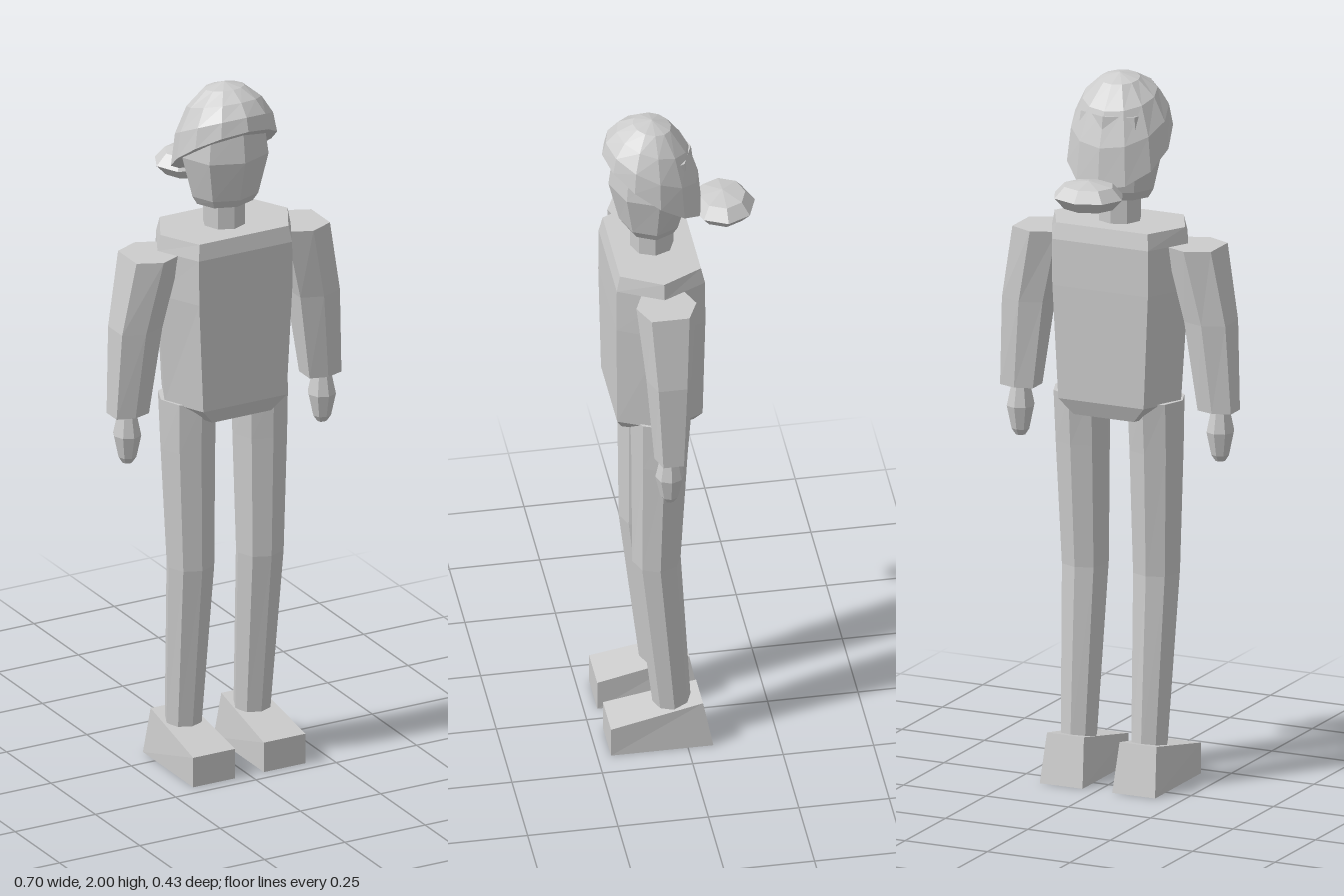
import * as THREE from 'three';

const grey = new THREE.MeshStandardMaterial({ color: 0xcccccc, flatShading: true });
grey.name = 'light grey';

// Unit polygons in the x-z plane
const polygon = (n) => Array.from({ length: n }, (_, i) => {
  const a = (i / n) * Math.PI * 2;
  return [Math.cos(a), Math.sin(a)];
});
const octagon = polygon(8);
const dodecagon = polygon(12);
const armShape = [[1, 0.63], [0, 1], [-1, 0.66], [-1, -0.66], [0, -1], [1, -0.63]];
const torsoShape = [[1, 0], [0.7, 1], [-0.7, 1], [-1, 0], [-0.7, -1], [0.7, -1]];

// Skin over rings of points listed from bottom to top, closed at both ends
function skin(rings, tipY) {
  const pos = [];
  const n = rings[0].length;
  const tri = (...pts) => pts.forEach((p) => pos.push(...p));
  const middle = (ring) => [0, 1, 2].map((k) => ring.reduce((s, p) => s + p[k], 0) / n);
  const first = rings[0], last = rings[rings.length - 1];
  const low = middle(first), high = middle(last);
  if (tipY !== undefined) high[1] = tipY;
  for (let i = 0; i < n; i++) {
    const j = (i + 1) % n;
    for (let r = 0; r < rings.length - 1; r++) {
      const a = rings[r], b = rings[r + 1];
      tri(a[i], b[i], a[j]);
      tri(b[i], b[j], a[j]);
    }
    tri(low, first[i], first[j]);
    tri(high, last[j], last[i]);
  }
  const geo = new THREE.BufferGeometry();
  geo.setAttribute('position', new THREE.Float32BufferAttribute(pos, 3));
  geo.computeVertexNormals();
  return geo;
}

// Rings given as [y, centre x, centre z, half width, half depth]
const loft = (shape, rows) => skin(rows.map(([y, cx, cz, rx, rz]) =>
  shape.map(([x, z]) => [cx + x * rx, y, cz + z * rz])));

export function createModel() {
  const group = new THREE.Group();
  const add = (name, geo) => {
    const mesh = new THREE.Mesh(geo, grey);
    mesh.name = name;
    group.add(mesh);
    return mesh;
  };

  add('torso', loft(torsoShape, [
    [1.045, 0, 0.07, 0.13, 0.1],
    [1.09, 0, 0.07, 0.185, 0.118],
    [1.41, 0, 0.07, 0.207, 0.123],
    [1.54, 0, 0.07, 0.207, 0.122],
    [1.585, 0, 0.07, 0.198, 0.112],
  ]));
  add('neck', loft(octagon, [
    [1.57, 0, 0.07, 0.06, 0.06],
    [1.67, 0, 0.07, 0.06, 0.06],
  ]));
  add('head', loft(octagon, [
    [1.655, 0, 0.072, 0.085, 0.072],
    [1.68, 0, 0.073, 0.1, 0.088],
    [1.8, 0, 0.07, 0.13, 0.12],
    [1.9, 0, 0.07, 0.115, 0.108],
  ]));

  // Cap of hair: a dome whose rim rises to the front
  const hairRings = [90, 67.5, 45, 22.5].map((deg) => {
    const phi = THREE.MathUtils.degToRad(deg);
    return dodecagon.map(([x, z]) => {
      const rim = 1.8 + 0.1 * z;
      return [x * 0.147 * Math.sin(phi), rim + (2 - rim) * Math.cos(phi), 0.07 + z * 0.138 * Math.sin(phi)];
    });
  });
  add('hair', skin(hairRings, 2));

  // Flattened bun behind the neck
  const bun = add('hairBun', new THREE.SphereGeometry(1, 8, 4));
  bun.scale.set(0.102, 0.044, 0.09);
  bun.position.set(0, 1.697, -0.125);

  for (const [side, s] of [['left', 1], ['right', -1]]) {
    // The arm section is mirrored by reversing its order
    const arm = s > 0 ? armShape : armShape.map(([x, z]) => [-x, z]).reverse();
    add(side + 'Arm', loft(arm, [
      [1.08, s * 0.3, 0.07, 0.05, 0.045],
      [1.33, s * 0.277, 0.07, 0.062, 0.063],
      [1.54, s * 0.233, 0.07, 0.068, 0.083],
    ]));
    add(side + 'Hand', loft(octagon, [
      [0.937, s * 0.303, 0.073, 0.014, 0.014],
      [0.955, s * 0.303, 0.073, 0.026, 0.026],
      [1.02, s * 0.303, 0.073, 0.04, 0.04],
      [1.085, s * 0.303, 0.073, 0.026, 0.026],
    ]));
    add(side + 'Leg', loft(octagon, [
      [0.12, s * 0.107, 0.034, 0.052, 0.053],
      [0.6, s * 0.108, 0.076, 0.068, 0.067],
      [0.95, s * 0.112, 0.068, 0.078, 0.078],
      [1.095, s * 0.112, 0.064, 0.081, 0.085],
    ]));

    // Wedge foot: high narrow heel, low toe
    const foot = new THREE.BoxGeometry(1, 1, 1);
    const p = foot.attributes.position;
    for (let i = 0; i < p.count; i++) {
      const top = p.getY(i) > 0, toe = p.getZ(i) > 0;
      const half = top && !toe ? 0.056 : 0.065;
      p.setXYZ(i, s * 0.11 + Math.sign(p.getX(i)) * half,
        top ? (toe ? 0.087 : 0.138) : 0,
        toe ? 0.213 : (top ? -0.043 : -0.07));
    }
    foot.computeVertexNormals();
    add(side + 'Foot', foot);
  }
  return group;
}
